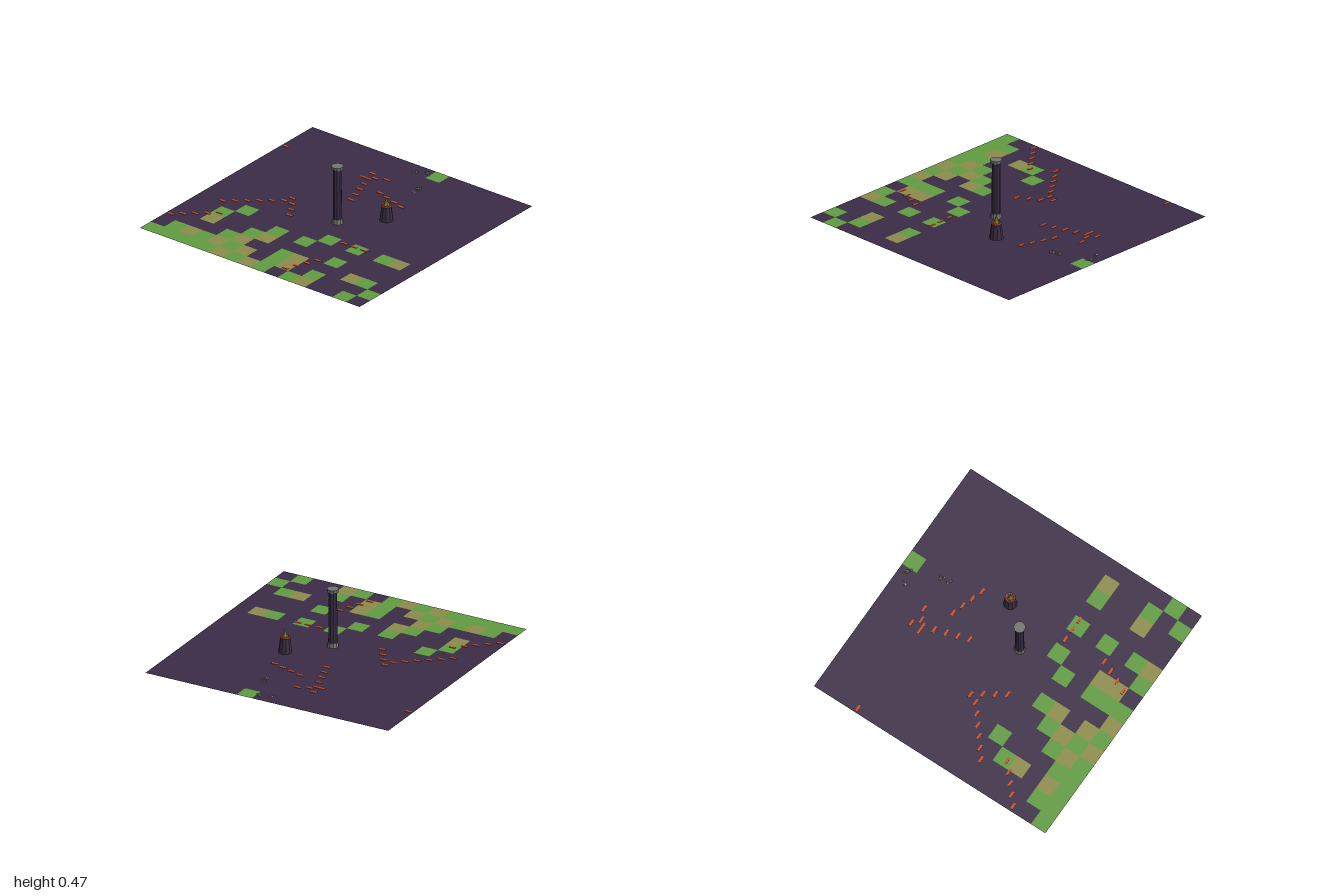
import * as THREE from 'three';
import { mergeGeometries } from 'three/addons/utils/BufferGeometryUtils.js';

export function createModel() {
  const model = new THREE.Group();
  model.name = 'ruinedField';
  const mat = (name, color, side = THREE.FrontSide) => {
    const m = new THREE.MeshStandardMaterial({ color, side, flatShading: true });
    m.name = name;
    return m;
  };
  const earth = mat('purpleEarth', 0x3c2c46, THREE.DoubleSide);
  const grass = mat('greenGrass', 0x5f9a41, THREE.DoubleSide);
  const dry = mat('dryGrass', 0x8c8b4a, THREE.DoubleSide);
  const ember = mat('emberOrange', 0xcb4d20);
  const stone = mat('greyStone', 0x73746e);
  const dark = mat('darkStone', 0x3a2c44);
  const flame = mat('oliveFlame', 0x83893f);
  const G = 0.021; // ground level

  const add = (parent, name, geometry, material, x = 0, y = 0, z = 0) => {
    const mesh = new THREE.Mesh(geometry, material);
    mesh.name = name;
    mesh.position.set(x, y, z);
    parent.add(mesh);
    return mesh;
  };

  // Ground: 16 x 16 tiles, g = grass, d = dry grass
  const rows = {
    0: '.........g......',
    10: '...g.....g.g.gd.',
    11: '..g...g.g.......',
    12: '..d..gd....g....',
    13: '....gd..gd...dg.',
    14: '.gdgdgd.gd.g...g',
    15: 'gggggdgdg.gd..g.',
  };
  const tiles = { '.': [], g: [], d: [] };
  for (let r = 0; r < 16; r++) {
    const row = rows[r] || '.'.repeat(16);
    for (let c = 0; c < 16; c++) {
      const tile = new THREE.PlaneGeometry(0.125, 0.125).rotateX(-Math.PI / 2);
      tiles[row[c]].push(tile.translate(-0.9375 + c * 0.125, G, -0.9375 + r * 0.125));
    }
  }
  add(model, 'earthTiles', mergeGeometries(tiles['.']), earth);
  add(model, 'grassTiles', mergeGeometries(tiles.g), grass);
  add(model, 'dryGrassTiles', mergeGeometries(tiles.d), dry);

  // Glowing cracks: runs of short strips [x, z, step x, step z, count]
  const runs = [
    [-0.965, -0.645, 0, 0, 1], [-0.21, -0.692, 0.06, 0.047, 2],
    [-0.07, -0.678, 0, 0, 1], [-0.23, -0.61, 0.045, 0, 2],
    [-0.16, -0.528, 0.027, 0.084, 4], [0.02, -0.488, 0.084, 0.027, 4],
    [-0.425, -0.035, 0, 0, 1], [-0.452, 0.028, -0.068, 0.055, 6],
    [-0.372, 0.035, 0.048, 0.075, 3], [-0.695, 0.465, -0.066, 0.057, 5],
    [0.304, 0.29, 0.088, 0, 3], [0.32, 0.617, -0.037, 0.079, 4],
  ];
  const strips = [];
  for (const [x, z, dx, dz, n] of runs) {
    for (let i = 0; i < n; i++) {
      strips.push(new THREE.BoxGeometry(0.052, 0.004, 0.017)
        .translate(x + dx * i, G + 0.0015, z + dz * i));
    }
  }
  add(model, 'glowingCracks', mergeGeometries(strips), ember);

  // Standing column
  const column = new THREE.Group();
  column.name = 'column';
  column.position.set(0.06, 0, 0.06);
  model.add(column);
  add(column, 'columnBase', new THREE.CylinderGeometry(0.037, 0.043, 0.036, 10), stone, 0, 0.038);
  add(column, 'columnShaft', new THREE.CylinderGeometry(0.031, 0.034, 0.4, 10), dark, 0, 0.253);
  add(column, 'columnCap', new THREE.CylinderGeometry(0.044, 0.041, 0.025, 10), stone, 0, 0.464);

  // Fire pedestal
  const brazier = new THREE.Group();
  brazier.name = 'firePedestal';
  brazier.position.set(0.31, 0, -0.19);
  model.add(brazier);
  add(brazier, 'pedestalBody', new THREE.CylinderGeometry(0.036, 0.051, 0.116, 10), dark, 0, 0.079);
  add(brazier, 'emberRing',
    new THREE.TorusGeometry(0.035, 0.006, 5, 12).rotateX(Math.PI / 2), ember, 0, 0.138);
  add(brazier, 'emberBed', new THREE.CylinderGeometry(0.025, 0.025, 0.005, 8), ember, 0, 0.139);
  add(brazier, 'flameTip', new THREE.ConeGeometry(0.022, 0.066, 6), flame, 0, 0.172);

  // Broken stones, half sunk in the ground: [x, z, radius, y]
  const stones = [
    [0.008, -0.897, 0.015, 0.015], [0.025, -0.905, 0.011, 0.022],
    [0.1, -0.935, 0.017, 0.017], [0.122, -0.918, 0.011, 0.018], [0.075, -0.955, 0.009, 0.02],
    [0.185, -0.71, 0.015, 0.018], [0.203, -0.717, 0.012, 0.02], [0.202, -0.69, 0.011, 0.021],
    [0.193, -0.65, 0.015, 0.016], [0.21, -0.64, 0.013, 0.019],
  ];
  stones.forEach(([x, z, r, y], i) => {
    const rock = add(model, 'brokenStone' + (i + 1), new THREE.DodecahedronGeometry(r), stone, x, y, z);
    rock.rotation.set(i * 0.7, i * 1.3, 0);
    rock.scale.set(1.15, 0.95, 0.85);
  });
  return model;
}
